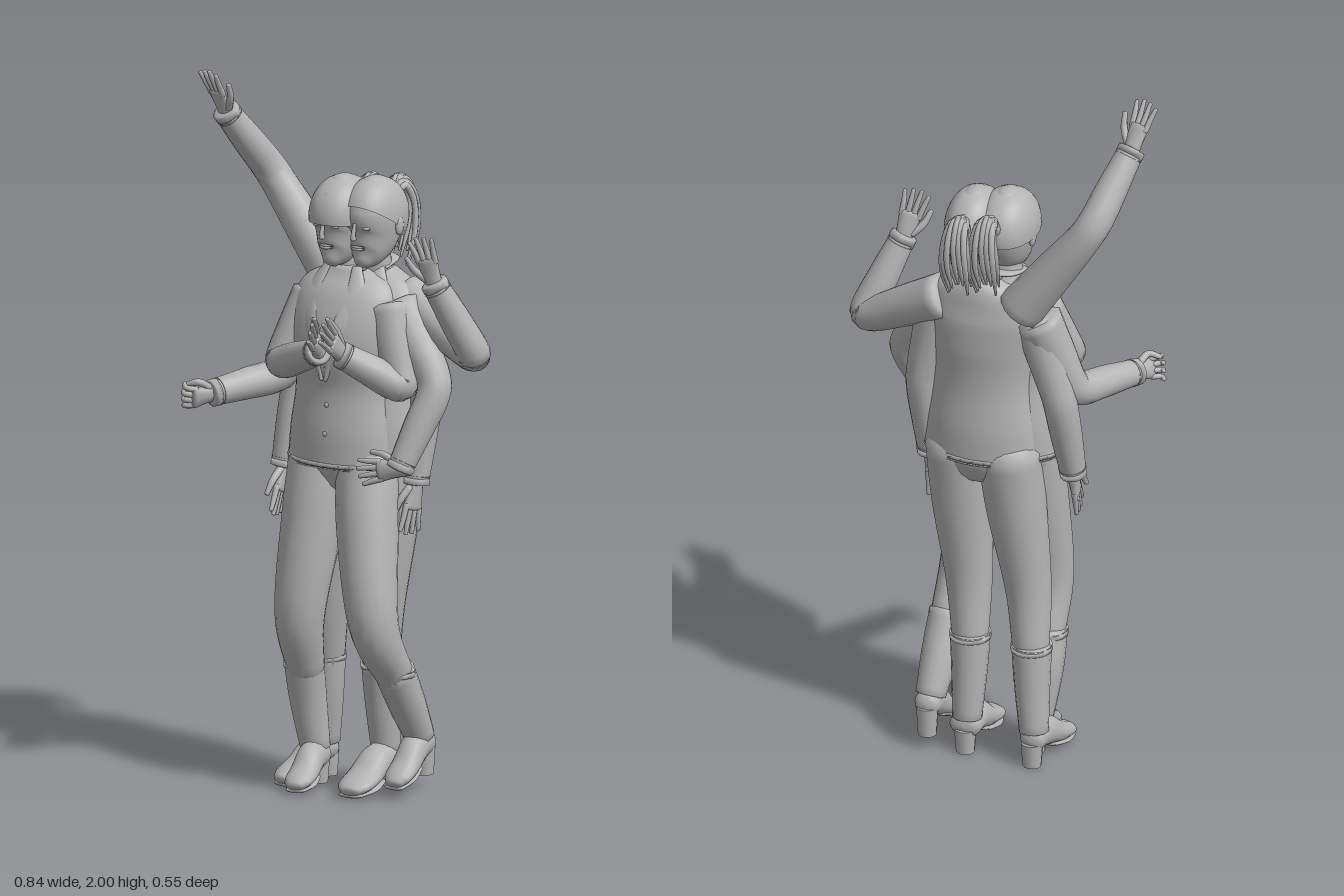
import * as THREE from 'three';

const grey = new THREE.MeshStandardMaterial({ color: 0xb4b4b4, side: THREE.DoubleSide });
grey.name = 'plain grey';
const V = (p) => new THREE.Vector3(p[0], p[1], p[2]);
const X = new THREE.Vector3(1, 0, 0);

// Smooth rounded tube through points [x, y, z, radius, second radius]
function limb(parent, name, pts, { around = 16, steps = 6, cap = 0.5, ref = null } = {}) {
  const curve = new THREE.CatmullRomCurve3(pts.map(V), false, 'catmullrom', 0.5);
  const radii = new THREE.CatmullRomCurve3(
    pts.map((p) => new THREE.Vector3(p[3], p[4] ?? p[3], 0)), false, 'catmullrom', 0.5);
  const n = steps * (pts.length - 1);
  const rings = [];
  for (let i = 0; i <= n; i++) {
    const c = curve.getPoint(i / n), t = curve.getTangent(i / n), r = radii.getPoint(i / n);
    rings.push({ c, t, a: r.x, b: r.y });
  }
  // Rounded ends
  const end = (o, sign) => [[0.6, 0.8], [0.9, 0.45], [1, 0]].map(([d, s]) => ({
    c: o.c.clone().addScaledVector(o.t, sign * d * cap * Math.min(o.a, o.b)), t: o.t, a: o.a * s, b: o.b * s }));
  const all = [...end(rings[0], -1).reverse(), ...rings, ...end(rings[n], 1)];
  // Reference axis that is never parallel to the path
  const axes = [[1, 0, 0], [0, 0, 1], [0, 1, 0]].map(V);
  const worst = (ax) => Math.max(...rings.map((o) => Math.abs(o.t.dot(ax))));
  const axis = ref ?? axes.reduce((m, x) => (worst(x) < worst(m) - 0.05 ? x : m));
  const pos = [], idx = [];
  all.forEach(({ c, t, a, b }, i) => {
    const s = axis.clone().addScaledVector(t, -axis.dot(t)).normalize();
    const u = t.clone().cross(s);
    for (let j = 0; j < around; j++) {
      const w = (j / around) * Math.PI * 2;
      const p = c.clone().addScaledVector(s, a * Math.cos(w)).addScaledVector(u, b * Math.sin(w));
      pos.push(p.x, p.y, p.z);
      if (i < all.length - 1) {
        const k = (j + 1) % around, q = i * around, e = q + around;
        idx.push(q + j, q + k, e + k, q + j, e + k, e + j);
      }
    }
  });
  const g = new THREE.BufferGeometry();
  g.setAttribute('position', new THREE.Float32BufferAttribute(pos, 3));
  g.setIndex(idx);
  g.computeVertexNormals();
  return add(parent, name, g);
}

function add(parent, name, geometry, at = [0, 0, 0], scale = [1, 1, 1]) {
  const m = new THREE.Mesh(geometry, grey);
  m.name = name;
  m.position.set(...at);
  m.scale.set(...scale);
  parent.add(m);
  return m;
}

// Palm, four fingers and thumb; the thumb lies towards `side`
function hand(parent, wrist, tip, side, curl = 0) {
  const o = V(wrist), d = V(tip).sub(o), L = d.length();
  d.normalize();
  const s = V(side);
  s.addScaledVector(d, -s.dot(d)).normalize();
  const nrm = d.clone().cross(s);
  const at = (f, w, h, ...r) => [...o.clone().addScaledVector(d, f * L)
    .addScaledVector(s, w).addScaledVector(nrm, h).toArray(), ...r];
  const g = new THREE.Group();
  g.name = 'hand';
  parent.add(g);
  limb(g, 'palm', [at(-0.15, 0, 0, 0.023, 0.02), at(0.15, 0, 0, 0.026, 0.017), at(0.48, 0, 0, 0.033, 0.012)],
    { ref: s, around: 12 });
  for (let k = 0; k < 4; k++) {
    const w = k - 1.5, reach = 0.52 - 0.06 * Math.abs(k - 1.7);
    limb(g, 'finger', [at(0.42, w * 0.016, 0, 0.009),
      at(0.45 + reach * 0.5 * (1 - curl * 0.4), w * 0.019, curl * 0.025, 0.008),
      at(0.45 + reach * (1 - curl), w * 0.023, curl * 0.045, 0.006)], { around: 8, steps: 4 });
  }
  limb(g, 'thumb', [at(0.1, 0.02, 0, 0.011), at(0.35, 0.042, 0.008, 0.01),
    at(0.62 - curl * 0.1, 0.05 - curl * 0.03, 0.015 + curl * 0.02, 0.007)], { around: 8, steps: 4 });
}

// Sleeve bent at the elbow, with a cuff and a hand
function arm(parent, name, [shoulder, elbow, wrist, tip], side, curl) {
  const g = new THREE.Group();
  g.name = name;
  parent.add(g);
  const mix = (a, b, t, r) => [...V(a).lerp(V(b), t).toArray(), r];
  limb(g, 'sleeve', [mix(shoulder, elbow, 0, 0.066), mix(shoulder, elbow, 0.45, 0.058), mix(shoulder, elbow, 0.88, 0.049),
    mix(elbow, wrist, 0.12, 0.047), mix(elbow, wrist, 0.5, 0.044), mix(elbow, wrist, 1, 0.036)], { cap: 0.2 });
  limb(g, 'cuff', [mix(elbow, wrist, 0.92, 0.039), mix(elbow, wrist, 1.02, 0.038)], { cap: 0.1, steps: 2 });
  hand(g, wrist, tip, side, curl);
}

// Trouser leg tucked into a heeled boot
function leg(parent, name, trouser, boot, heel, toe, width = 1) {
  const g = new THREE.Group();
  g.name = name;
  parent.add(g);
  limb(g, 'trouserLeg', trouser, { around: 20 });
  limb(g, 'bootShaft', boot, { cap: 0.15 });
  const [a, b, c] = boot[0];
  limb(g, 'bootCuff', [[a, b + 0.004, c, 0.058], [a, b - 0.012, c, 0.058]], { cap: 0.1, steps: 2 });
  const at = (t, y, r, r2) => { const p = V(heel).lerp(V(toe), t); return [p.x, p.y + y, p.z, r * width, r2]; };
  limb(g, 'bootFoot', [at(0, 0.01, 0.036, 0.036), at(0.3, 0.025, 0.038, 0.045), at(0.62, 0.008, 0.042, 0.032),
    at(0.88, 0.003, 0.04, 0.022), at(1, 0, 0.026, 0.015)], { ref: X });
  limb(g, 'sole', [at(0.4, -0.02, 0.034, 0.006), at(0.7, -0.02, 0.042, 0.007), at(1, -0.013, 0.028, 0.006)], { ref: X });
  const h = Math.min(0.085, heel[1]);
  add(g, 'heel', new THREE.CylinderGeometry(0.031, 0.026, h, 12), [heel[0], heel[1] - h / 2, heel[2] + 0.003]);
}

// Head, face, hair cap and ponytail strands; `tilt` lifts the hairline, `lean` shifts the ponytail
function head(parent, name, x, z, tilt, rx, lean) {
  const g = new THREE.Group();
  g.name = name;
  g.position.set(x, 0, z);
  parent.add(g);
  limb(g, 'neck', [[0, 1.42, -0.02, 0.055], [0, 1.49, -0.005, 0.042], [0, 1.56, 0, 0.045]]);
  limb(g, 'face', [[0, 1.49, 0.06, 0.026, 0.025], [0, 1.515, 0.038, 0.05, 0.056], [0, 1.56, 0.012, 0.067, 0.086],
    [0, 1.62, 0, 0.075, 0.102], [0, 1.68, 0, 0.064, 0.085], [0, 1.705, 0, 0.035, 0.045]], { around: 24 });
  // Hair is a sphere with squarer sides
  const cap = new THREE.SphereGeometry(1, 32, 20, 0, Math.PI * 2, 0, 1.72);
  const p = cap.attributes.position;
  for (let i = 0; i < p.count; i++) p.setX(i, Math.sign(p.getX(i)) * Math.abs(p.getX(i)) ** 0.88);
  cap.computeVertexNormals();
  add(g, 'hairCap', cap, [0, 1.61, -0.002], [rx, 0.11, 0.112]).rotation.x = -tilt;
  limb(g, 'nose', [[0, 1.605, 0.098, 0.005], [0, 1.575, 0.105, 0.007], [0, 1.563, 0.105, 0.009]], { around: 8 });
  for (const [y, r] of [[1.539, 0.004], [1.533, 0.005]])
    limb(g, 'lip', [[-0.022, y, 0.084, 0.002], [0, y, 0.093, r], [0.022, y, 0.084, 0.002]], { around: 8 });
  for (const s of [-1, 1]) {
    add(g, 'eye', new THREE.SphereGeometry(1, 12, 8), [s * 0.03, 1.593, 0.087], [0.012, 0.005, 0.006]);
    add(g, 'ear', new THREE.SphereGeometry(1, 12, 10), [s * 0.076, 1.59, -0.008], [0.009, 0.027, 0.017]);
  }
  add(g, 'hairTie', new THREE.TorusGeometry(0.02, 0.008, 8, 16), [lean * 0.6, 1.65, -0.108]);
  for (let k = 0; k < 13; k++) {
    const w = (k - 6) / 6, v = Math.sin(k * 12.9), out = 0.02 * Math.cos(k * 2.4);
    limb(g, 'ponytailStrand', [[lean * 0.6 + w * 0.013, 1.655, -0.1, 0.008],
      [lean + w * 0.024, 1.68 + v * 0.012, -0.135 - out * 0.5, 0.01],
      [lean + w * 0.036, 1.63 + v * 0.015, -0.165 - out * 0.8, 0.009],
      [lean + w * 0.042, 1.55 + v * 0.02, -0.16 - out, 0.008],
      [lean + w * 0.035, 1.47 + v * 0.025, -0.13 - out, 0.003]], { around: 7, steps: 4 });
  }
}

// Fitted jacket with hem, lapels, collar and buttons, over the trouser seat
function jacket(parent, name, x, z) {
  const g = new THREE.Group();
  g.name = name;
  g.position.set(x, 0, z);
  parent.add(g);
  limb(g, 'jacketBody', [[0, 0.925, 0, 0.172, 0.114], [0, 1.02, 0, 0.163, 0.112], [0, 1.14, 0, 0.148, 0.1],
    [0, 1.26, 0.005, 0.16, 0.11], [0, 1.36, -0.01, 0.166, 0.096], [0, 1.425, -0.025, 0.138, 0.07],
    [0, 1.465, -0.03, 0.07, 0.052]], { around: 32, cap: 0.1 });
  limb(g, 'hemBand', [[0, 0.922, 0, 0.174, 0.116], [0, 0.938, 0, 0.173, 0.115]], { around: 32, cap: 0.05, steps: 2 });
  limb(g, 'trouserSeat', [[0, 0.99, -0.005, 0.15, 0.1], [0, 0.92, -0.01, 0.158, 0.1], [0, 0.87, -0.012, 0.14, 0.08]],
    { around: 28, cap: 0.4 });
  for (const s of [-1, 1]) {
    limb(g, 'lapel', [[s * 0.048, 1.475, 0.012, 0.014, 0.006], [s * 0.068, 1.4, 0.054, 0.028, 0.007],
      [s * 0.045, 1.3, 0.102, 0.024, 0.007], [s * 0.006, 1.17, 0.106, 0.005, 0.005]],
    { ref: new THREE.Vector3(1, 0, -s * 0.4) });
    limb(g, 'collar', [[0, 1.485, -0.08, 0.008, 0.02], [s * 0.045, 1.483, -0.055, 0.008, 0.02],
      [s * 0.052, 1.47, 0.005, 0.007, 0.018]], { around: 10 });
  }
  for (const y of [1.02, 1.1])
    add(g, 'button', new THREE.SphereGeometry(0.007, 10, 8), [0.008, y, y < 1.05 ? 0.111 : 0.103], [1, 1, 0.6]);
}

export function createModel() {
  const model = new THREE.Group();
  model.name = 'overlappingFigures';

  jacket(model, 'frontJacket', -0.02, -0.035);
  jacket(model, 'rearJacket', 0.02, -0.085);
  head(model, 'frontHead', -0.04, -0.056, 0.05, 0.086, 0.005);
  head(model, 'rearHead', 0.043, -0.087, 0.55, 0.08, -0.008);

  // Four arms on each side
  arm(model, 'raisedRightArm', [[-0.11, 1.4, -0.13], [-0.315, 1.68, -0.115], [-0.37, 1.87, 0.03], [-0.39, 2.0, 0.1]], [1, 0, 0.3]);
  arm(model, 'outstretchedRightArm', [[-0.15, 1.36, -0.1], [-0.235, 1.135, -0.05], [-0.325, 1.11, 0.16], [-0.375, 1.095, 0.275]],
    [0.3, 1, 0], 0.7);
  arm(model, 'clappingRightArm', [[-0.13, 1.37, -0.05], [-0.185, 1.19, 0.04], [0.015, 1.27, 0.145], [0.07, 1.37, 0.265]], [0, 1, -0.4]);
  arm(model, 'hangingRightArm', [[-0.14, 1.36, -0.09], [-0.215, 1.12, -0.1], [-0.232, 0.88, -0.05], [-0.23, 0.74, 0]], [0.2, 0, 1]);
  arm(model, 'wavingLeftArm', [[0.12, 1.39, -0.13], [0.38, 1.25, -0.092], [0.3, 1.47, 0], [0.27, 1.61, 0.035]], [-1, 0, 0.2]);
  arm(model, 'clappingLeftArm', [[0.12, 1.37, -0.05], [0.19, 1.16, -0.01], [0.068, 1.26, 0.11], [0.095, 1.37, 0.25]], [0, 1, -0.4]);
  arm(model, 'hipLeftArm', [[0.13, 1.37, -0.08], [0.275, 1.17, -0.05], [0.22, 0.95, 0.05], [0.1, 0.93, 0.09]], [0, 1, 0]);
  arm(model, 'hangingLeftArm', [[0.14, 1.36, -0.1], [0.19, 1.12, -0.12], [0.18, 0.88, -0.085], [0.175, 0.73, -0.055]], [-0.2, 0, 1]);

  // Front pair of legs, the left one bent with a lifted heel
  leg(model, 'frontRightLeg',
    [[-0.095, 0.94, -0.03, 0.088], [-0.1, 0.76, 0.005, 0.086], [-0.115, 0.5, 0.045, 0.07], [-0.127, 0.33, 0, 0.052]],
    [[-0.132, 0.35, 0, 0.056], [-0.135, 0.24, -0.025, 0.052], [-0.125, 0.1, -0.045, 0.042]],
    [-0.123, 0.07, -0.06], [-0.09, 0.024, 0.105]);
  leg(model, 'frontLeftLeg',
    [[0.06, 0.94, -0.03, 0.088], [0.088, 0.76, 0.015, 0.086], [0.138, 0.5, 0.058, 0.069], [0.15, 0.34, -0.03, 0.052]],
    [[0.15, 0.355, -0.025, 0.056], [0.152, 0.25, -0.085, 0.052], [0.155, 0.15, -0.14, 0.042]],
    [0.155, 0.125, -0.165], [0.165, 0.045, 0]);
  // Rear pair, standing straight
  leg(model, 'rearRightLeg',
    [[-0.065, 0.94, -0.105, 0.09], [-0.08, 0.76, -0.09, 0.084], [-0.11, 0.52, -0.08, 0.065], [-0.13, 0.33, -0.105, 0.05]],
    [[-0.132, 0.35, -0.105, 0.056], [-0.138, 0.24, -0.115, 0.05], [-0.15, 0.1, -0.13, 0.041]],
    [-0.15, 0.07, -0.145], [-0.165, 0.024, 0.06]);
  leg(model, 'rearLeftLeg',
    [[0.09, 0.94, -0.105, 0.09], [0.085, 0.76, -0.09, 0.084], [0.068, 0.52, -0.08, 0.066], [0.052, 0.33, -0.105, 0.05]],
    [[0.052, 0.35, -0.105, 0.056], [0.05, 0.24, -0.115, 0.05], [0.05, 0.1, -0.13, 0.041]],
    [0.05, 0.07, -0.145], [0.066, 0.024, 0.07], 1.25);
  return model;
}
